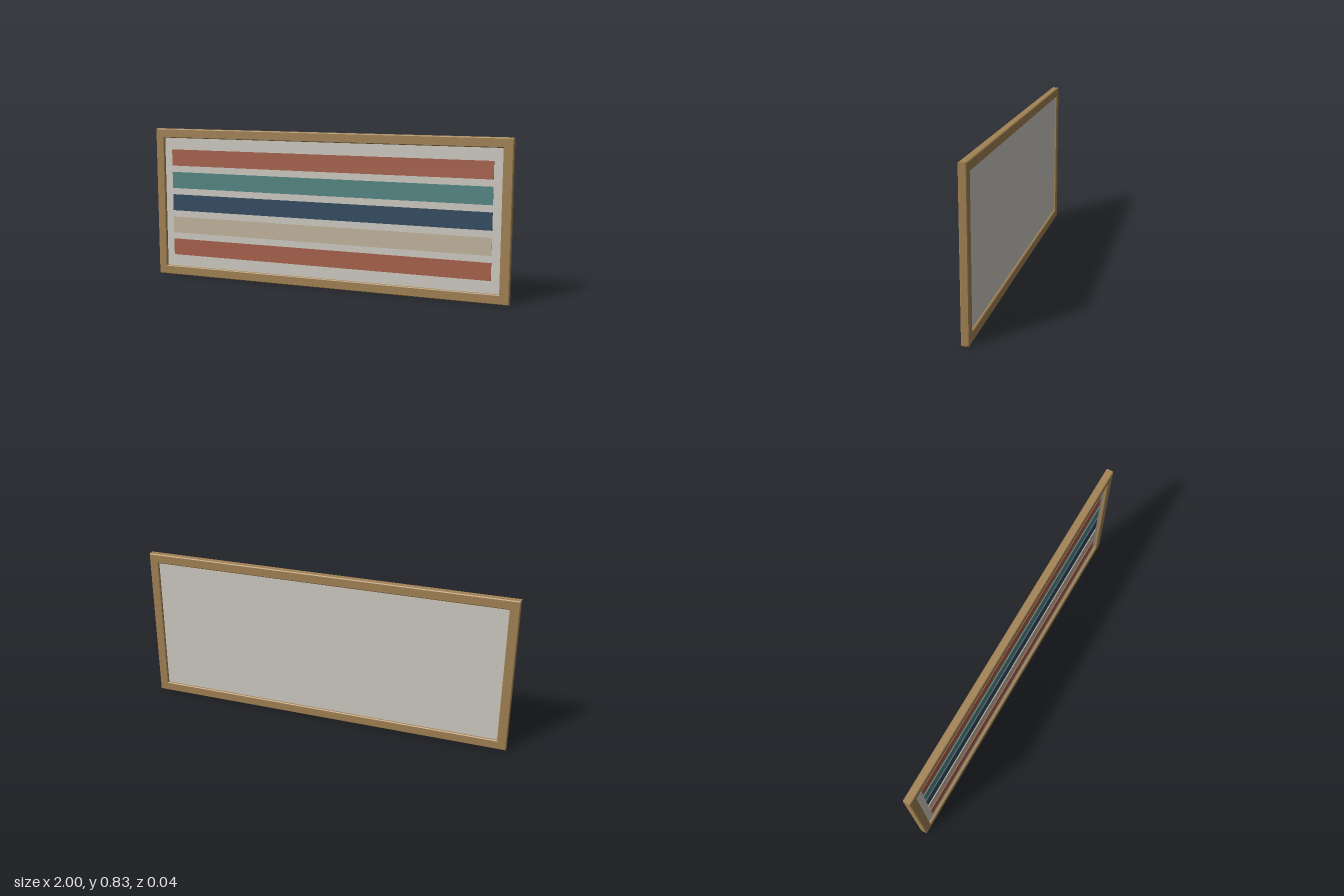
import * as THREE from 'three';

const WIDTH = 2, HEIGHT = 0.83, DEPTH = 0.04, BORDER = 0.05, BEVEL = 0.004;

function material(name, color) {
  const m = new THREE.MeshStandardMaterial({ color });
  m.name = name;
  return m;
}

// Rectangle outline centred on the origin
function rectangle(Type, w, h) {
  const r = new Type();
  r.moveTo(-w / 2, -h / 2);
  r.lineTo(w / 2, -h / 2);
  r.lineTo(w / 2, h / 2);
  r.lineTo(-w / 2, h / 2);
  r.closePath();
  return r;
}

export function createModel() {
  const group = new THREE.Group();
  group.name = 'framedArtwork';

  const wood = material('wood', 0xa28253);
  const canvasColour = material('canvas', 0xcfcbc3);
  const red = material('terracotta', 0xa8614b);
  const teal = material('teal', 0x528683);
  const navy = material('navy', 0x314b62);
  const sand = material('sand', 0xc2b49e);

  function add(name, geometry, mat, y, z) {
    const mesh = new THREE.Mesh(geometry, mat);
    mesh.name = name;
    mesh.position.set(0, y, z);
    group.add(mesh);
  }

  // Chamfered frame around an open rectangle
  const outline = rectangle(THREE.Shape, WIDTH, HEIGHT);
  outline.holes.push(rectangle(THREE.Path, WIDTH - 2 * BORDER, HEIGHT - 2 * BORDER));
  const frame = new THREE.ExtrudeGeometry(outline, {
    depth: DEPTH - 2 * BEVEL,
    bevelEnabled: true,
    bevelThickness: BEVEL,
    bevelSize: BEVEL,
    bevelOffset: -BEVEL,
    bevelSegments: 1,
  });
  frame.translate(0, 0, -DEPTH / 2 + BEVEL);
  add('frame', frame, wood, HEIGHT / 2, 0);

  // Canvas panel, recessed on both sides
  const panel = new THREE.BoxGeometry(WIDTH - 2 * BORDER + 0.01, HEIGHT - 2 * BORDER + 0.01, 0.014);
  add('canvas', panel, canvasColour, HEIGHT / 2, -0.001);

  // Painted stripes, top to bottom
  const stripe = new THREE.BoxGeometry(1.81, 0.091, 0.005);
  [red, teal, navy, sand, red].forEach((mat, i) => {
    add(`stripe${i + 1}`, stripe, mat, HEIGHT / 2 + (2 - i) * 0.127, 0.0075);
  });

  return group;
}
